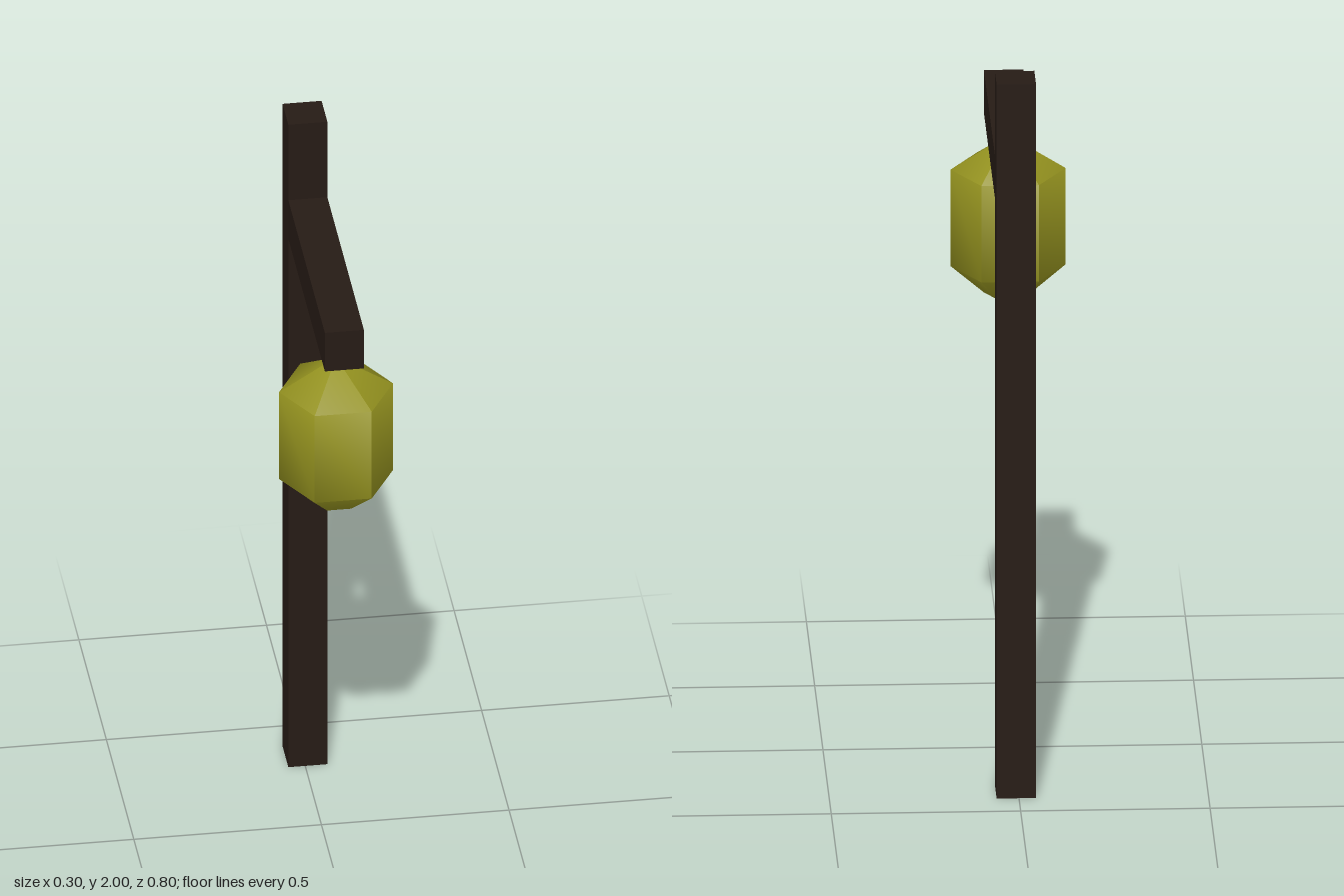
import * as THREE from 'three';
import { toCreasedNormals } from 'three/addons/utils/BufferGeometryUtils.js';

export function createModel() {
  const group = new THREE.Group();
  const wood = new THREE.MeshStandardMaterial({ color: 0x261b15 });
  const glow = new THREE.MeshStandardMaterial({ color: 0x969420 });

  // Box given by its lower and upper corners
  const beam = (name, [x0, y0, z0], [x1, y1, z1]) => {
    const mesh = new THREE.Mesh(new THREE.BoxGeometry(x1 - x0, y1 - y0, z1 - z0), wood);
    mesh.position.set((x0 + x1) / 2, (y0 + y1) / 2, (z0 + z1) / 2);
    mesh.name = name;
    group.add(mesh);
  };

  // Upright post and the arm reaching forward from it
  beam('post', [-0.045, 0, -0.4], [0.059, 2, -0.295]);
  beam('arm', [-0.045, 1.645, -0.295], [0.059, 1.765, 0.37]);

  // Short hanger between arm and lantern
  beam('hanger', [-0.01, 1.6, 0.255], [0.01, 1.645, 0.275]);

  // Six-sided lantern: flat base, straight sides, pointed top
  const profile = [[0, 1.18], [0.064, 1.18], [0.152, 1.255], [0.152, 1.525], [0, 1.62]]
    .map(([r, y]) => new THREE.Vector2(r, y));
  const shape = new THREE.LatheGeometry(profile, 6, Math.PI / 2);
  // Soft from top to bottom, crisp between the six sides
  const lantern = new THREE.Mesh(toCreasedNormals(shape, THREE.MathUtils.degToRad(57)), glow);
  lantern.position.z = 0.265;
  lantern.name = 'lantern';
  group.add(lantern);

  return group;
}
